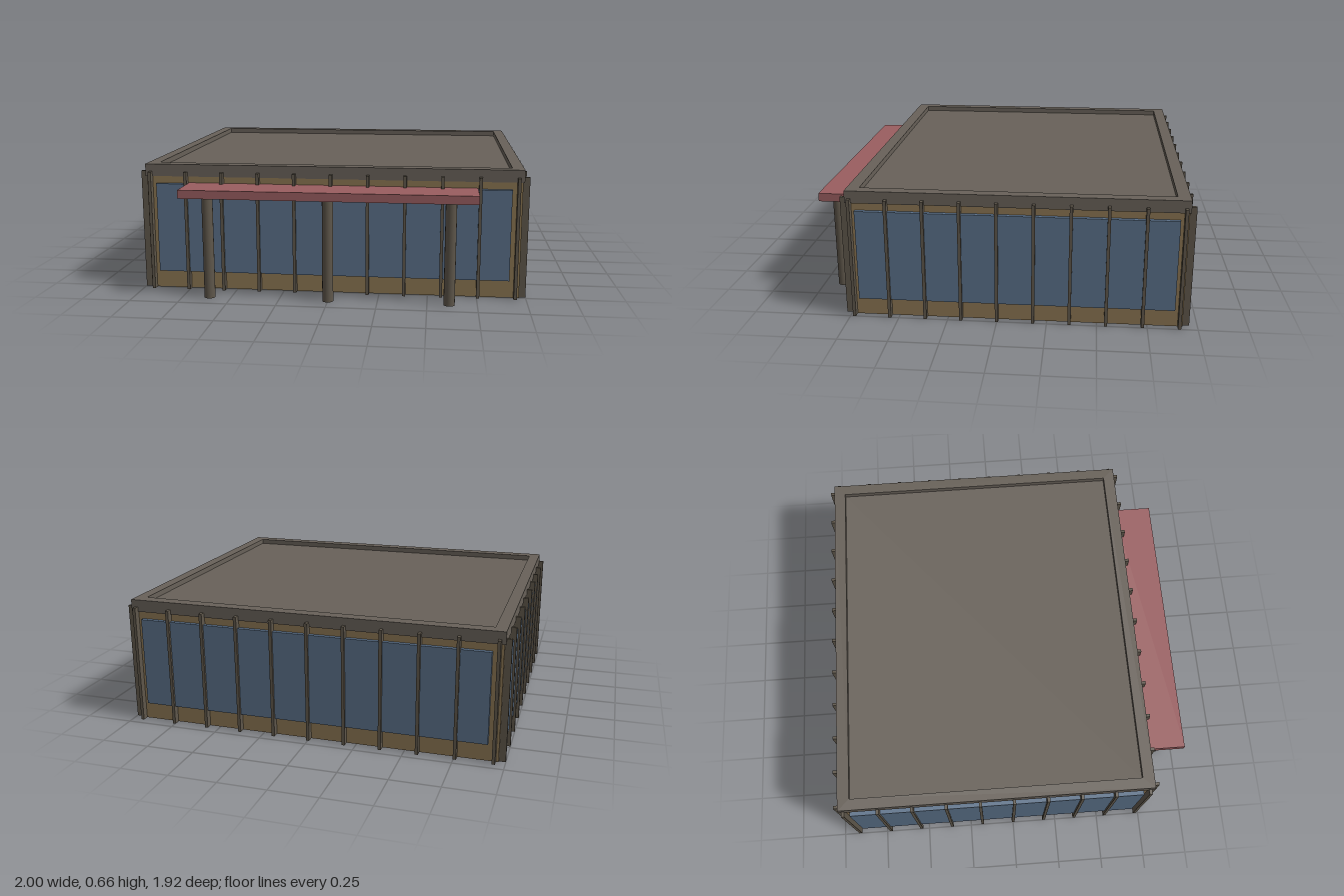
import * as THREE from 'three';

const mat = (name, color) => {
  const m = new THREE.MeshStandardMaterial({ color });
  m.name = name;
  return m;
};

export function createModel() {
  const model = new THREE.Group();
  model.name = 'pavilion';

  const wallMat = mat('tan wall', 0x8b7552);
  const roofMat = mat('grey roof', 0x686159);
  const glassMat = mat('blue glass', 0x5a7089);
  const trimMat = mat('dark trim', 0x5f574b);
  const canopyMat = mat('red canopy', 0x9a5e60);

  const hall = new THREE.Group();
  hall.name = 'hall';
  hall.position.z = -0.09;
  model.add(hall);

  // Box given by its extents
  const box = (parent, name, material, x0, x1, y0, y1, z0, z1) => {
    const mesh = new THREE.Mesh(new THREE.BoxGeometry(x1 - x0, y1 - y0, z1 - z0), material);
    mesh.position.set((x0 + x1) / 2, (y0 + y1) / 2, (z0 + z1) / 2);
    mesh.name = name;
    parent.add(mesh);
    return mesh;
  };

  // Solid body
  const W = 0.966, D = 0.836;
  box(hall, 'walls', wallMat, -W, W, 0, 0.6, -D, D);

  // Roof slab with a raised rim
  const rectangle = (Type, w, d) => {
    const p = new Type();
    p.moveTo(-w, -d);
    p.lineTo(w, -d);
    p.lineTo(w, d);
    p.lineTo(-w, d);
    p.closePath();
    return p;
  };
  const rimShape = rectangle(THREE.Shape, 0.973, 0.842);
  rimShape.holes.push(rectangle(THREE.Path, 0.914, 0.779));
  const rimGeometry = new THREE.ExtrudeGeometry(rimShape, { depth: 0.063, bevelEnabled: false });
  rimGeometry.rotateX(-Math.PI / 2);
  const rim = new THREE.Mesh(rimGeometry, roofMat);
  rim.name = 'roofRim';
  rim.position.y = 0.6;
  hall.add(rim);
  box(hall, 'roofDeck', roofMat, -0.916, 0.916, 0.6, 0.635, -0.781, 0.781);

  // Each facade: a glass band crossed by evenly spaced fins
  const facade = (name, angle, wallDist, glassHalf, count, spacing) => {
    const side = new THREE.Group();
    side.name = name;
    side.rotation.y = angle;
    hall.add(side);
    box(side, 'window', glassMat, -glassHalf, glassHalf, 0.094, 0.563, wallDist - 0.01, wallDist + 0.022);
    for (let i = 0; i < count; i++) {
      const x = (i - (count - 1) / 2) * spacing;
      box(side, 'fin', trimMat, x - 0.008, x + 0.008, 0, 0.625, wallDist - 0.01, wallDist + 0.034);
    }
  };
  facade('frontFacade', 0, D, 0.913, 11, 0.189);
  facade('backFacade', Math.PI, D, 0.913, 11, 0.189);
  facade('leftFacade', Math.PI / 2, W, 0.793, 10, 0.182);
  facade('rightFacade', -Math.PI / 2, W, 0.793, 10, 0.182);

  // Entrance canopy on three round posts
  box(model, 'canopy', canopyMat, -0.743, 0.743, 0.524, 0.567, 0.74, 0.958);
  for (const x of [-0.61, 0, 0.61]) {
    const post = new THREE.Mesh(new THREE.CylinderGeometry(0.028, 0.028, 0.524, 16), trimMat);
    post.name = 'canopyPost';
    post.position.set(x, 0.262, 0.895);
    model.add(post);
  }

  return model;
}
